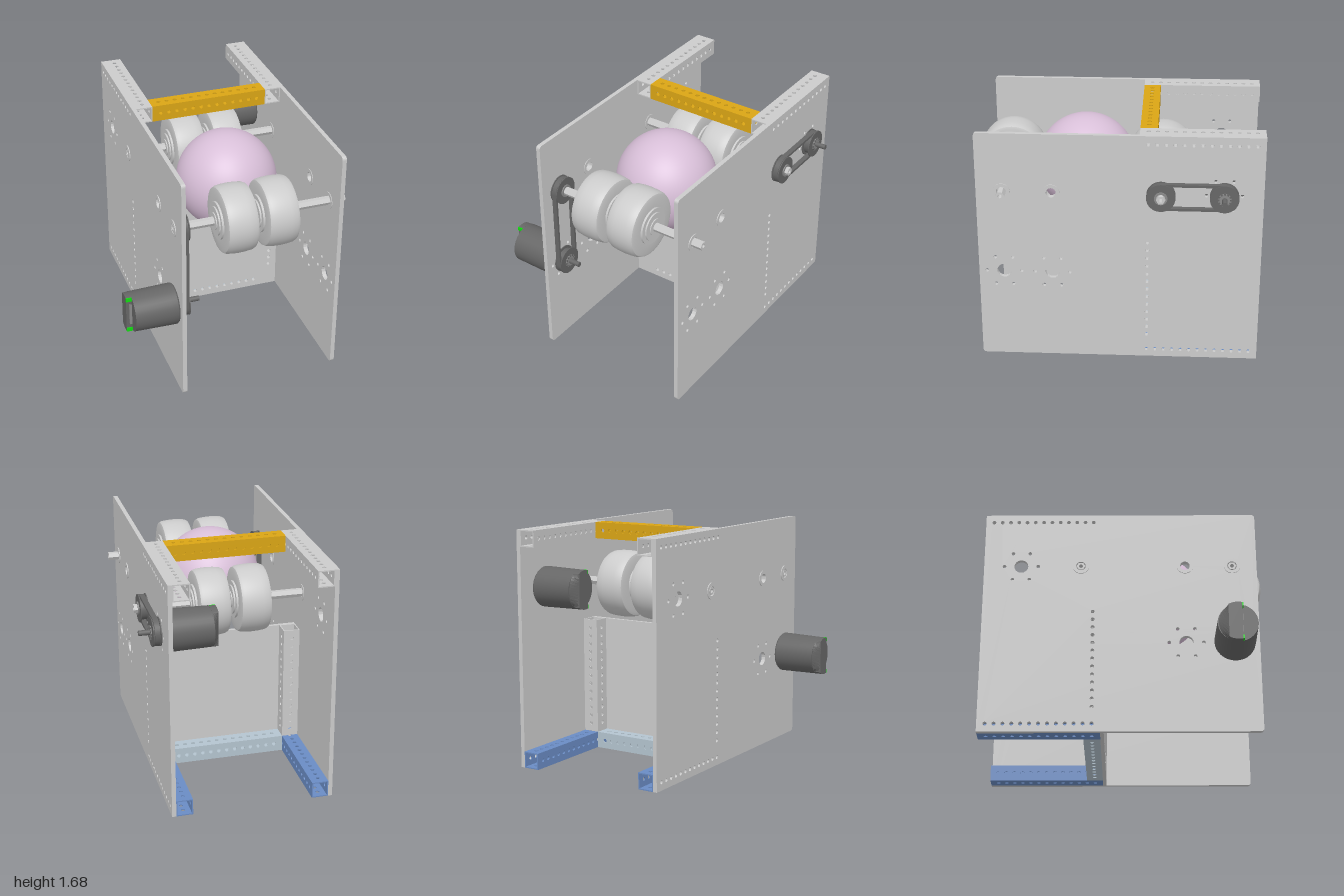
import * as THREE from 'three';
import { toCreasedNormals } from 'three/addons/utils/BufferGeometryUtils.js';

const mat = (color) => new THREE.MeshStandardMaterial({ color });
const GREY = mat(0xcccccc), DARK = mat(0x666666), SHADE = mat(0x8a8a8a), YELLOW = mat(0xdaa515);
const BLUE = mat(0x6a8cc4), PALE = mat(0xb4c4cf), PINK = mat(0xd8bfd8), GREEN = mat(0x11dd11);

const AXLE_Y = 1.26, FRONT_Z = 0.765, BALL_Z = 0.43, REAR_Z = -0.31;
const MOTOR_Y = 0.66, MOTOR_Z = -0.735, ROW_Z = -0.5825;
const TUBE = 0.117, WALL = 0.008, PITCH = 0.06;
const row = Array.from({ length: 13 }, (_, i) => (i - 6) * PITCH);

function add(parent, name, geometry, material, x = 0, y = 0, z = 0) {
  const mesh = new THREE.Mesh(geometry, material);
  mesh.name = name;
  mesh.position.set(x, y, z);
  parent.add(mesh);
  return mesh;
}

const circle = (x, y, r) => new THREE.Path().absarc(x, y, r, 0, Math.PI * 2, true);

function rect(x0, y0, x1, y1) {
  return new THREE.Shape([[x0, y0], [x1, y0], [x1, y1], [x0, y1]].map((p) => new THREE.Vector2(...p)));
}

const extrude = (shape, depth, curveSegments = 8) =>
  new THREE.ExtrudeGeometry(shape, { depth, curveSegments, bevelEnabled: false });

// Extrusion of a (z, y) outline towards -x, starting at x = 0
const extrudeX = (shape, depth, segs) => extrude(shape, depth, segs).rotateY(-Math.PI / 2);

// Turned part around the x axis from [radius, x] pairs
function turned(pairs, segments = 48) {
  const geo = new THREE.LatheGeometry(pairs.map(([r, x]) => new THREE.Vector2(r, x)), segments);
  return toCreasedNormals(geo.rotateZ(-Math.PI / 2), 0.5);
}

// Washer along x, centred on its own middle
const ring = (rOut, rIn, w) =>
  turned([[rIn, w / 2], [rIn, -w / 2], [rOut, -w / 2], [rOut, w / 2], [rIn, w / 2]]);

// Big hole with six screw holes around it
function motorPattern(shape, z, y) {
  shape.holes.push(circle(z, y, 0.05));
  for (let i = 0; i < 6; i++) {
    const a = i * Math.PI / 3;
    shape.holes.push(circle(z + 0.12 * Math.cos(a), y + 0.12 * Math.sin(a), 0.013));
  }
}

function sidePlate() {
  const s = new THREE.Shape(), r = 0.025, a = -1, b = 0.94, h = 1.68;
  s.moveTo(a, 0).lineTo(b - r, 0).quadraticCurveTo(b, 0, b, r).lineTo(b, h - r);
  s.quadraticCurveTo(b, h, b - r, h).lineTo(a, h).lineTo(a, 0);
  for (const d of row) {
    s.holes.push(circle(ROW_Z + d, TUBE / 2, 0.014), circle(ROW_Z + d, 1.68 - TUBE / 2, 0.014));
    s.holes.push(circle(-0.2225, 0.54 + d, 0.014));
  }
  for (const z of [FRONT_Z, BALL_Z, REAR_Z]) s.holes.push(circle(z, AXLE_Y, 0.04));
  motorPattern(s, FRONT_Z, MOTOR_Y);
  motorPattern(s, BALL_Z, MOTOR_Y);
  motorPattern(s, MOTOR_Z, AXLE_Y);
  return extrudeX(s, 0.03);
}

// Square tube along its local x, drilled through all four walls
function squareTube(name, length, material) {
  const g = new THREE.Group(), s = rect(-length / 2, -TUBE / 2, length / 2, TUBE / 2);
  g.name = name;
  for (const d of row) s.holes.push(circle(d, 0, 0.014));
  const wall = extrude(s, WALL, 6).translate(0, 0, TUBE / 2 - WALL);
  for (let i = 0; i < 4; i++) add(g, 'tubeWall', wall, material).rotation.x = i * Math.PI / 2;
  return g;
}

// Hollow hexagonal axle between two x positions
function hexAxle(x0, x1) {
  const s = new THREE.Shape();
  for (let i = 0; i < 6; i++) {
    const a = i * Math.PI / 3;
    s[i ? 'lineTo' : 'moveTo'](0.031 * Math.cos(a), 0.031 * Math.sin(a));
  }
  s.holes.push(circle(0, 0, 0.014));
  return extrudeX(s, x1 - x0).translate(x1, 0, 0);
}

// Wheel: half of the profile, mirrored to the other side
function wheelGeometry() {
  const half = [[0.03, -0.14], [0.06, -0.14], [0.06, -0.133], [0.1, -0.133], [0.1, -0.122], [0.13, -0.122],
    [0.13, -0.108], [0.205, -0.108], [0.222, -0.103], [0.231, -0.085], [0.236, -0.045], [0.238, 0]];
  return turned([...half, ...half.slice(0, -1).reverse().map(([r, x]) => [r, -x])], 64);
}

function wheelAxle(name, z, x0, x1) {
  const g = new THREE.Group(), wheel = wheelGeometry();
  g.name = name;
  g.position.set(0, AXLE_Y, z);
  add(g, 'axle', hexAxle(x0, x1), GREY);
  for (const x of [-0.053, 0.235]) add(g, 'wheel', wheel, GREY, x);
  add(g, 'spacer', ring(0.045, 0.03, 0.02), SHADE, 0.091);
  return g;
}

// Motor with its mounting face at x = 0 and its shaft pointing to +x
function motor(name, x, y, z) {
  const g = new THREE.Group();
  g.name = name;
  g.position.set(x, y, z);
  add(g, 'motorBody', turned([[0, -0.31], [0.138, -0.31], [0.143, -0.05], [0.143, -0.01], [0.135, 0], [0, 0]], 32), DARK);
  // End cap: cut circle, its outer rim sloped on the back side
  const s = new THREE.Shape(), a = Math.acos(0.03 / 0.138);
  s.absarc(0, 0, 0.138, a, Math.PI * 2 - a, false);
  s.closePath();
  const cap = extrudeX(s, 0.045, 24), p = cap.attributes.position;
  for (let i = 0; i < p.count; i++) if (p.getX(i) < -0.02) p.setZ(i, Math.max(p.getZ(i), -0.065));
  cap.computeVertexNormals();
  add(g, 'motorCap', cap, DARK, -0.305);
  add(g, 'capSlot', new THREE.BoxGeometry(0.02, 0.16, 0.006), SHADE, -0.318, 0, 0.031);
  for (const sy of [-1, 1]) add(g, 'terminal', new THREE.BoxGeometry(0.04, 0.028, 0.014), GREEN, -0.33, sy * 0.121, 0.03);
  add(g, 'motorShaft', new THREE.CylinderGeometry(0.018, 0.018, 0.175, 16).rotateZ(Math.PI / 2), DARK, 0.0875);
  return g;
}

// Two pulleys with a belt; local z runs from the first pulley to the second
function beltDrive(name, length, width, hubSide) {
  const g = new THREE.Group();
  g.name = name;
  const stadium = (path, r) => path.absarc(length, 0, r, -Math.PI / 2, Math.PI / 2, false)
    .absarc(0, 0, r, Math.PI / 2, Math.PI * 1.5, false).closePath();
  const s = stadium(new THREE.Shape(), 0.095);
  s.holes.push(stadium(new THREE.Path(), 0.078));
  add(g, 'belt', extrudeX(s, width * 0.6, 20).translate(width * 0.3, 0, 0), DARK);
  for (const z of [0, length]) {
    const bore = z ? 0.016 : 0.03;
    add(g, 'pulley', ring(0.079, bore, width * 0.9), DARK, 0, 0, z);
    for (const sx of [-1, 1]) add(g, 'pulleyFlange', ring(0.098, bore, width * 0.12), DARK, sx * width * 0.42, 0, z);
    add(g, 'pulleyHub', ring(0.045, bore, 0.014), SHADE, hubSide * width * 0.5, 0, z);
  }
  // Teeth around the driven hub
  for (let i = 0; i < 12; i++) {
    const t = add(g, 'hubTooth', new THREE.BoxGeometry(0.018, 0.012, 0.012), DARK, hubSide * width * 0.5,
      0.042 * Math.sin(i * Math.PI / 6), length + 0.042 * Math.cos(i * Math.PI / 6));
    t.rotation.x = -i * Math.PI / 6;
  }
  return g;
}

export function createModel() {
  const model = new THREE.Group();
  model.name = 'ballLauncher';

  // Side plates with flanged bearings on the outside
  const plate = sidePlate(), flange = ring(0.058, 0.034, 0.04);
  for (const [name, x, bx] of [['rightPlate', -0.44, -0.456], ['leftPlate', 0.67, 0.656]]) {
    add(model, name, plate, GREY, x);
    for (const z of [FRONT_Z, BALL_Z, REAR_Z]) add(model, 'bearing', flange, GREY, bx, AXLE_Y, z);
  }

  // Back panel
  const s = rect(-0.44, 0, 0.64, 0.96);
  for (const d of row) {
    s.holes.push(circle(0.1 + d, TUBE / 2, 0.014));
    for (const x of [-0.3815, 0.5815]) s.holes.push(circle(x, 0.54 + d, 0.014));
  }
  add(model, 'backPanel', extrude(s, 0.025), GREY, 0, 0, -0.165);

  // Frame of square tubes
  const place = (tube, x, y, z) => { tube.position.set(x, y, z); model.add(tube); return tube; };
  for (const x of [-0.3815, 0.5815]) {
    place(squareTube('topRail', 0.835, GREY), x, 1.68 - TUBE / 2, ROW_Z).rotation.y = Math.PI / 2;
    place(squareTube('bottomRail', 0.835, BLUE), x, TUBE / 2, ROW_Z).rotation.y = Math.PI / 2;
    place(squareTube('upright', 0.843, GREY), x, 0.5385, -0.2235).rotation.z = Math.PI / 2;
  }
  place(squareTube('topCrossbar', 0.846, YELLOW), 0.1, 1.68 - TUBE / 2, -0.2235);
  place(squareTube('bottomCrossbar', 0.846, PALE), 0.1, TUBE / 2, -0.2235);

  // Ball and the two wheel axles
  add(model, 'ball', new THREE.SphereGeometry(0.354, 64, 40), PINK, 0.09, 1.245, 0.23);
  model.add(wheelAxle('frontWheels', FRONT_Z, -0.475, 0.75));
  model.add(wheelAxle('rearWheels', REAR_Z, -0.475, 0.765));

  // Motors and belt drives
  model.add(motor('frontMotor', -0.47, MOTOR_Y, FRONT_Z));
  model.add(motor('rearMotor', 0.64, AXLE_Y, MOTOR_Z));
  place(beltDrive('frontDrive', AXLE_Y - MOTOR_Y, 0.056, 1), -0.41, AXLE_Y, FRONT_Z).rotation.x = Math.PI / 2;
  place(beltDrive('rearDrive', REAR_Z - MOTOR_Z, 0.06, 1), 0.703, AXLE_Y, REAR_Z).rotation.x = Math.PI;
  return model;
}
